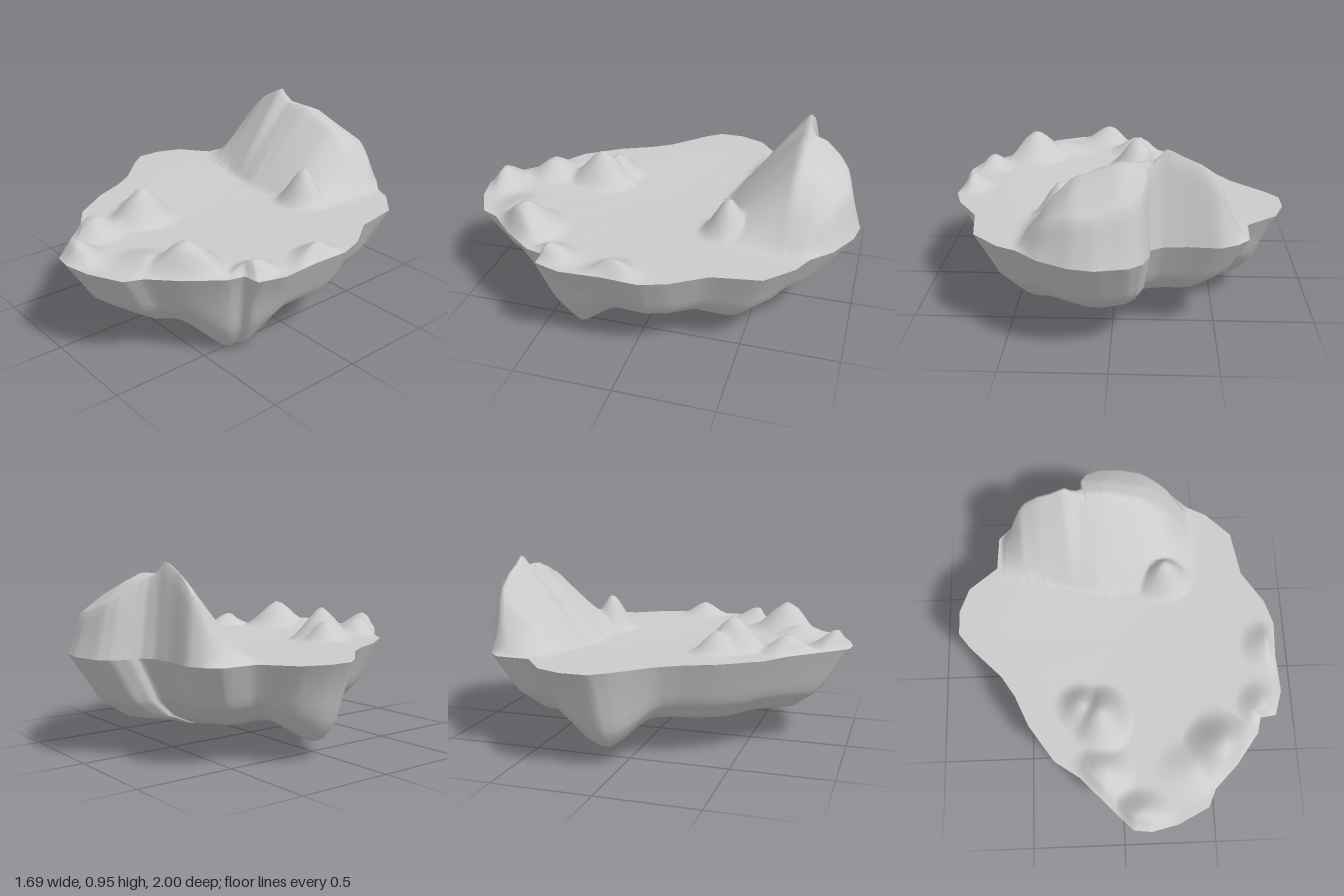
import * as THREE from 'three';

const RIM_Y = 0.55;
// Shoreline as [x, z], starting at the back
const OUTLINE = [
  [0.06, -1], [0.17, -0.98], [0.32, -0.9], [0.42, -0.8], [0.52, -0.75], [0.65, -0.62], [0.69, -0.38],
  [0.8, -0.21], [0.84, -0.08], [0.83, 0.1], [0.84, 0.3], [0.8, 0.43], [0.72, 0.44], [0.7, 0.52],
  [0.58, 0.68], [0.46, 0.8], [0.42, 0.89], [0.26, 0.97], [0.13, 1], [0.04, 0.99], [-0.05, 0.9],
  [-0.22, 0.72], [-0.35, 0.63], [-0.48, 0.44], [-0.55, 0.28], [-0.62, 0.17], [-0.79, 0], [-0.85, -0.08],
  [-0.85, -0.21], [-0.8, -0.34], [-0.65, -0.46], [-0.64, -0.64], [-0.58, -0.7], [-0.5, -0.74],
  [-0.35, -0.73], [-0.24, -0.74], [-0.17, -0.78], [-0.18, -0.84], [-0.15, -0.92], [-0.09, -0.97],
];
// Mountain crest height above the plateau, by x
const CREST = [[-0.63, 0], [-0.58, 0.09], [-0.5, 0.27], [-0.4, 0.37], [-0.25, 0.45], [-0.19, 0.39],
  [-0.04, 0.39], [0.17, 0.31], [0.28, 0.2], [0.42, 0]];
// Mountain section as a share of the crest, by z
const BACK_SLOPE = [[-1.02, 0.4], [-0.94, 0.56], [-0.85, 0.76], [-0.78, 0.9], [-0.69, 1]];
// Small hills: x, z, height, radius x, radius z
const HILLS = [
  [0.26, -0.37, 0.19, 0.15, 0.14], [-0.1, 0.42, 0.17, 0.16, 0.19], [-0.2, 0.36, 0.11, 0.13, 0.14],
  [0.5, 0.6, 0.15, 0.2, 0.2], [0.36, 0.7, 0.05, 0.2, 0.16], [-0.1, 0.7, 0.09, 0.16, 0.15],
  [0.08, 0.92, 0.09, 0.17, 0.14], [0.79, 0.05, 0.08, 0.14, 0.14], [0.72, 0.38, 0.07, 0.12, 0.14],
];
// Hanging points under the island: x, z, depth, radius x, radius z
const ROOTS = [
  [0.52, 0.35, 0.17, 0.27, 0.25], [-0.65, -0.08, 0.13, 0.22, 0.3], [0.36, -0.45, 0.04, 0.25, 0.25],
  [0.1, -0.22, 0.04, 0.14, 0.14], [0.25, 0.55, 0.03, 0.25, 0.2], [-0.08, -0.4, 0.03, 0.18, 0.18],
];

// Straight-line lookup in a table of [key, value]
function lookup(table, k) {
  if (k <= table[0][0]) return table[0][1];
  for (let i = 1; i < table.length; i++) {
    const [a, va] = table[i - 1], [b, vb] = table[i];
    if (k <= b) return va + (vb - va) * (k - a) / (b - a);
  }
  return table[table.length - 1][1];
}

// Rounded cone with a fairly pointed tip
function bump([cx, cz, h, rx, rz], x, z) {
  const d = Math.hypot((x - cx) / rx, (z - cz) / rz);
  return d < 1 ? h * (0.5 * (1 - d) + 0.25 * (1 + Math.cos(Math.PI * d))) : 0;
}

function topHeight(x, z, t) {
  const foot = -0.3 - 0.22 * Math.max(0, -x - 0.1);
  const front = THREE.MathUtils.clamp((foot - z) / (foot + 0.67), 0, 1);
  const share = z < -0.69 ? lookup(BACK_SLOPE, z) : front;
  let h = lookup(CREST, x) * share;
  for (const hill of HILLS) h = Math.max(h, bump(hill, x, z));
  const dip = 0.02 * Math.max(0, 1 - t * 1.4);
  return RIM_Y + (h - dip) * Math.min(1, (1 - t) / 0.06);
}

// Underside: steep flank by distance from the centre, then an uneven floor
const FLANK = [[0, 0], [0.55, 0.03], [0.72, 0.13], [0.85, 0.38], [1, 1]];
function bottomHeight(x, z, t) {
  const floor = 0.19 - 0.04 * x + 0.012 * Math.sin(9 * x + 4) * Math.cos(8 * z);
  let y = floor + (RIM_Y - floor) * lookup(FLANK, t);
  for (const root of ROOTS) y -= bump(root, x, z) * Math.min(1, (1 - t) / 0.15);
  return Math.max(0, y);
}

// Skin of scaled shoreline loops, closed at the centre
function skin(heightAt, rings, faceUp) {
  const loop = [];
  const SUB = 4;
  OUTLINE.forEach(([x, z], i) => {
    const [nx, nz] = OUTLINE[(i + 1) % OUTLINE.length];
    for (let s = 0; s < SUB; s++) loop.push([x + (nx - x) * s / SUB, z + (nz - z) * s / SUB]);
  });
  const n = loop.length, pos = [0, heightAt(0, 0, 0), 0], index = [];
  const tri = (a, b, c) => (faceUp ? index.push(a, c, b) : index.push(a, b, c));
  for (let r = 1; r <= rings; r++) {
    const t = 1 - Math.pow(1 - r / rings, 1.25);
    for (const [x, z] of loop) pos.push(x * t, heightAt(x * t, z * t, t), z * t);
  }
  for (let i = 0; i < n; i++) {
    const j = (i + 1) % n;
    tri(0, 1 + i, 1 + j);
    for (let r = 0; r < rings - 1; r++) {
      const a = 1 + r * n, b = a + n;
      tri(a + i, b + i, b + j);
      tri(a + i, b + j, a + j);
    }
  }
  const g = new THREE.BufferGeometry();
  g.setAttribute('position', new THREE.Float32BufferAttribute(pos, 3));
  g.setIndex(index);
  g.computeVertexNormals();
  return g;
}

export function createModel() {
  const group = new THREE.Group();
  group.name = 'floatingIsland';
  const material = new THREE.MeshStandardMaterial({ color: 0xcccccc });

  // Plateau with mountain and hills
  const top = new THREE.Mesh(skin(topHeight, 44, true), material);
  top.name = 'islandTop';

  // Rocky underside
  const bottom = new THREE.Mesh(skin(bottomHeight, 28, false), material);
  bottom.name = 'islandUnderside';

  group.add(top, bottom);
  return group;
}
